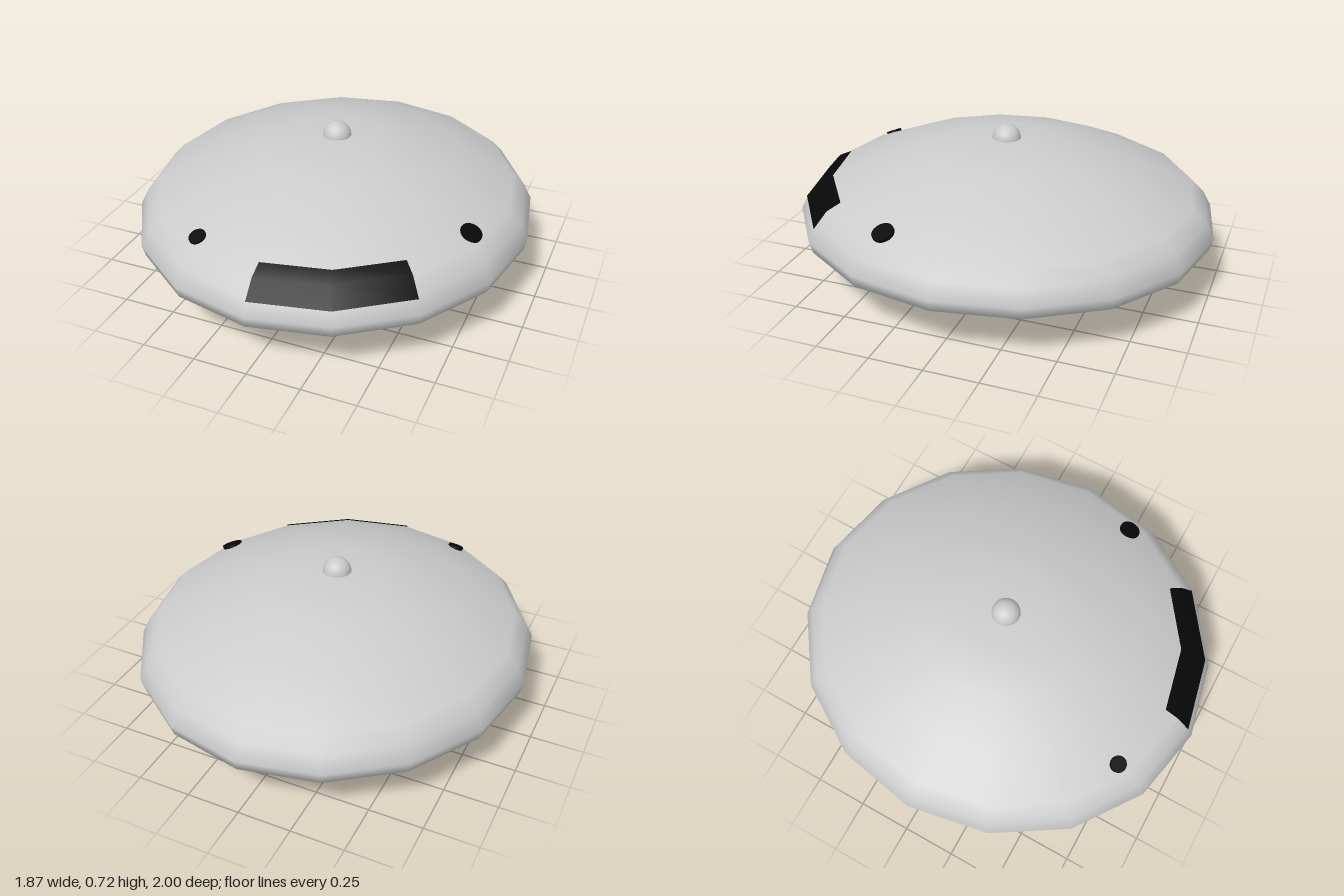
import * as THREE from 'three';

const SQUASH = 0.935; // hull is slightly narrower across x
const rad = THREE.MathUtils.degToRad;

// Hull cross-section, bottom to top: [radius, height]
const PROFILE = [
  [0, 0.062], [0.34, 0.065], [0.66, 0.122], [0.89, 0.185], [0.985, 0.24], [1, 0.295],
  [0.963, 0.365], [0.9, 0.43], [0.65, 0.54], [0.4, 0.62], [0.22, 0.652], [0, 0.657],
];

function lathe(name, points, segments, material, start = 0, length = Math.PI * 2) {
  const profile = points.map(([r, y]) => new THREE.Vector2(r, y));
  const mesh = new THREE.Mesh(new THREE.LatheGeometry(profile, segments, start, length), material);
  mesh.name = name;
  return mesh;
}

export function createModel() {
  const model = new THREE.Group();
  model.name = 'saucer';

  const grey = new THREE.MeshStandardMaterial({ color: 0xcccccc });
  const ringGrey = new THREE.MeshStandardMaterial({ color: 0xcccccc, flatShading: true });
  const black = new THREE.MeshStandardMaterial({ color: 0x080808, side: THREE.DoubleSide });
  const darkGrey = new THREE.MeshStandardMaterial({ color: 0x4a4a4a, side: THREE.DoubleSide });

  // Sixteen-sided hull
  const hull = lathe('hull', PROFILE, 16, grey);
  hull.scale.x = SQUASH;
  model.add(hull);

  // Front window hugging two hull facets
  const frontWindow = lathe('frontWindow',
    [[0.972, 0.357], [0.905, 0.433], [0.837, 0.465]], 2, black, 0, Math.PI / 4);
  frontWindow.scale.x = SQUASH;
  model.add(frontWindow);

  // Round portholes lying on the upper slope
  const up = new THREE.Vector3(0, 1, 0);
  for (const [name, x, z, size] of [['rightPorthole', -0.33, 0.76, 0.039], ['leftPorthole', 0.74, 0.285, 0.05]]) {
    const porthole = new THREE.Mesh(new THREE.CylinderGeometry(size, size, 0.016, 20), black);
    porthole.name = name;
    porthole.position.set(x, 0.458, z);
    const normal = new THREE.Vector3(x, 0, z).normalize().multiplyScalar(0.44).add(up).normalize();
    porthole.quaternion.setFromUnitVectors(up, normal);
    model.add(porthole);
  }

  // Knob on top
  const knob = new THREE.Mesh(new THREE.SphereGeometry(0.067, 24, 12, 0, Math.PI * 2, 0, Math.PI / 2), grey);
  knob.name = 'topKnob';
  knob.position.y = 0.653;
  model.add(knob);

  // Tapered base with a ring of windows
  const base = new THREE.Group();
  base.name = 'base';
  base.position.set(0.01, 0, 0.022);
  base.add(lathe('baseRing', [[0, 0], [0.285, 0], [0.318, 0.056], [0.318, 0.075]], 20, ringGrey, rad(-18)));
  for (let i = 0; i < 10; i++) {
    const center = -45 + i * 36;
    base.add(lathe('baseWindow', [[0.293, 0.01], [0.317, 0.05]], 1,
      i === 0 ? black : darkGrey, rad(center - 7.5), rad(15)));
    // Slim frames beside each window
    for (const side of [-1, 1]) {
      base.add(lathe('windowFrame', [[0.291, 0.005], [0.322, 0.056]], 1,
        darkGrey, rad(center + side * 11 - 0.5), rad(1)));
    }
  }
  model.add(base);

  return model;
}
